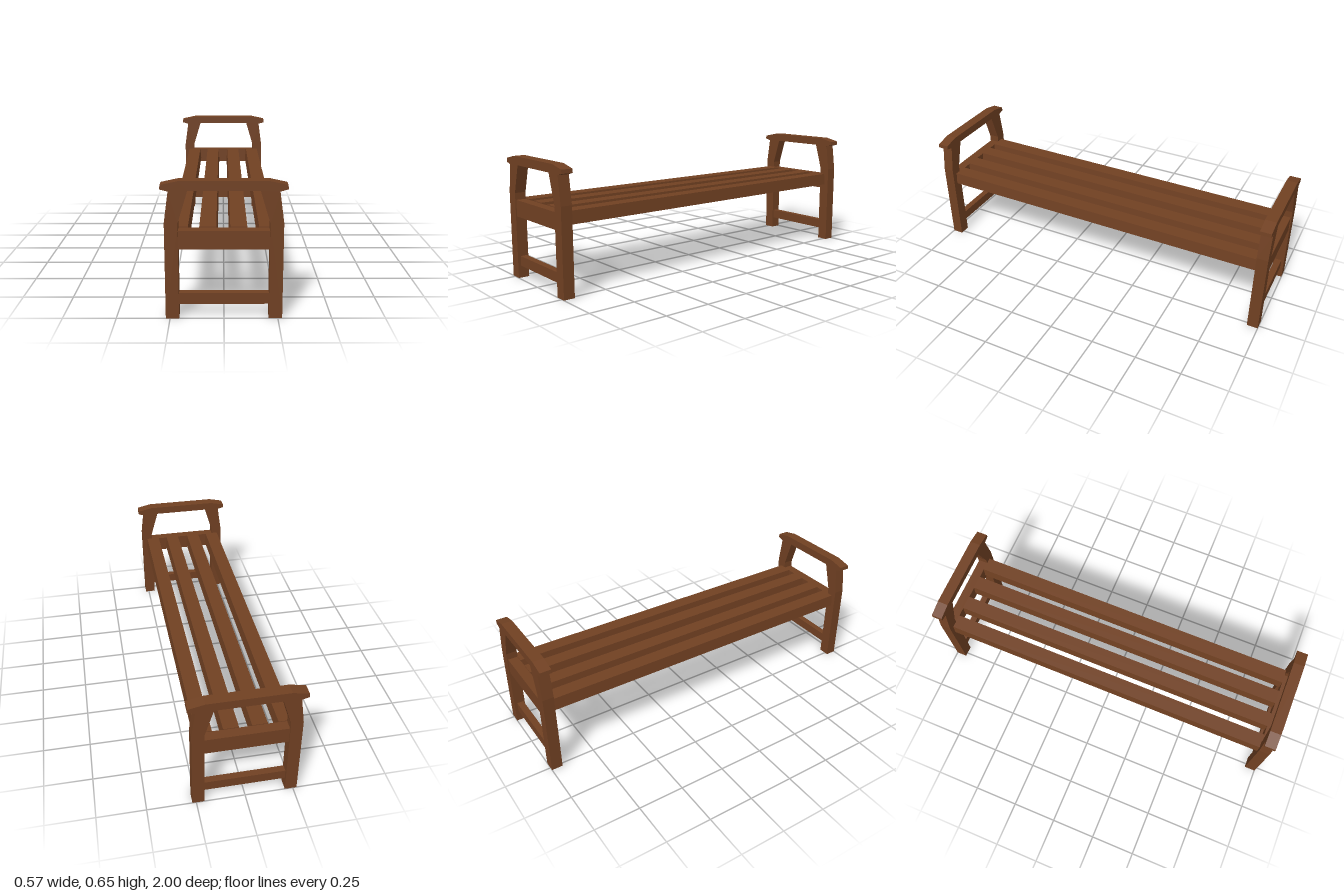
import * as THREE from 'three';

const wood = new THREE.MeshStandardMaterial({ color: 0x704022 });
wood.name = 'brown wood';

// Extrude an outline along z, centred on z
function extrude(points, depth, z, name) {
  const shape = new THREE.Shape(points.map(([x, y]) => new THREE.Vector2(x, y)));
  const geo = new THREE.ExtrudeGeometry(shape, { depth, bevelEnabled: false });
  geo.translate(0, 0, z - depth / 2);
  const mesh = new THREE.Mesh(geo, wood);
  mesh.name = name;
  return mesh;
}

function box(w, h, d, y, z, name) {
  const mesh = new THREE.Mesh(new THREE.BoxGeometry(w, h, d), wood);
  mesh.position.set(0, y, z);
  mesh.name = name;
  return mesh;
}

// Right half of the end frame: leg, splayed post and angled armrest tip
const halfFrame = [
  [0.163, 0.61], [0.208, 0.46], [0.208, 0], [0.27, 0], [0.27, 0.46],
  [0.25, 0.607], [0.287, 0.617], [0.285, 0.637], [0.203, 0.655],
];
const frameOutline = [
  ...halfFrame,
  ...halfFrame.map(([x, y]) => [-x, y]).reverse(),
];

export function createModel() {
  const bench = new THREE.Group();
  bench.name = 'bench';

  // End frames with seat rail and lower stretcher
  for (const side of [1, -1]) {
    const end = new THREE.Group();
    end.name = side > 0 ? 'frontEnd' : 'backEnd';
    end.add(
      extrude(frameOutline, 0.06, side * 0.97, 'legsAndArmrest'),
      box(0.416, 0.088, 0.053, 0.379, side * 0.9675, 'seatRail'),
      box(0.416, 0.053, 0.036, 0.092, side * 0.966, 'stretcher'),
    );
    bench.add(end);
  }

  // Four long seat slats with slightly tapered sides
  const seat = new THREE.Group();
  seat.name = 'seat';
  for (const x of [-0.204, -0.074, 0.068, 0.2]) {
    const slat = extrude(
      [[-0.045, 0.36], [0.045, 0.36], [0.039, 0.427], [-0.039, 0.427]],
      1.884, 0, 'slat');
    slat.position.x = x;
    seat.add(slat);
  }
  bench.add(seat);
  return bench;
}
